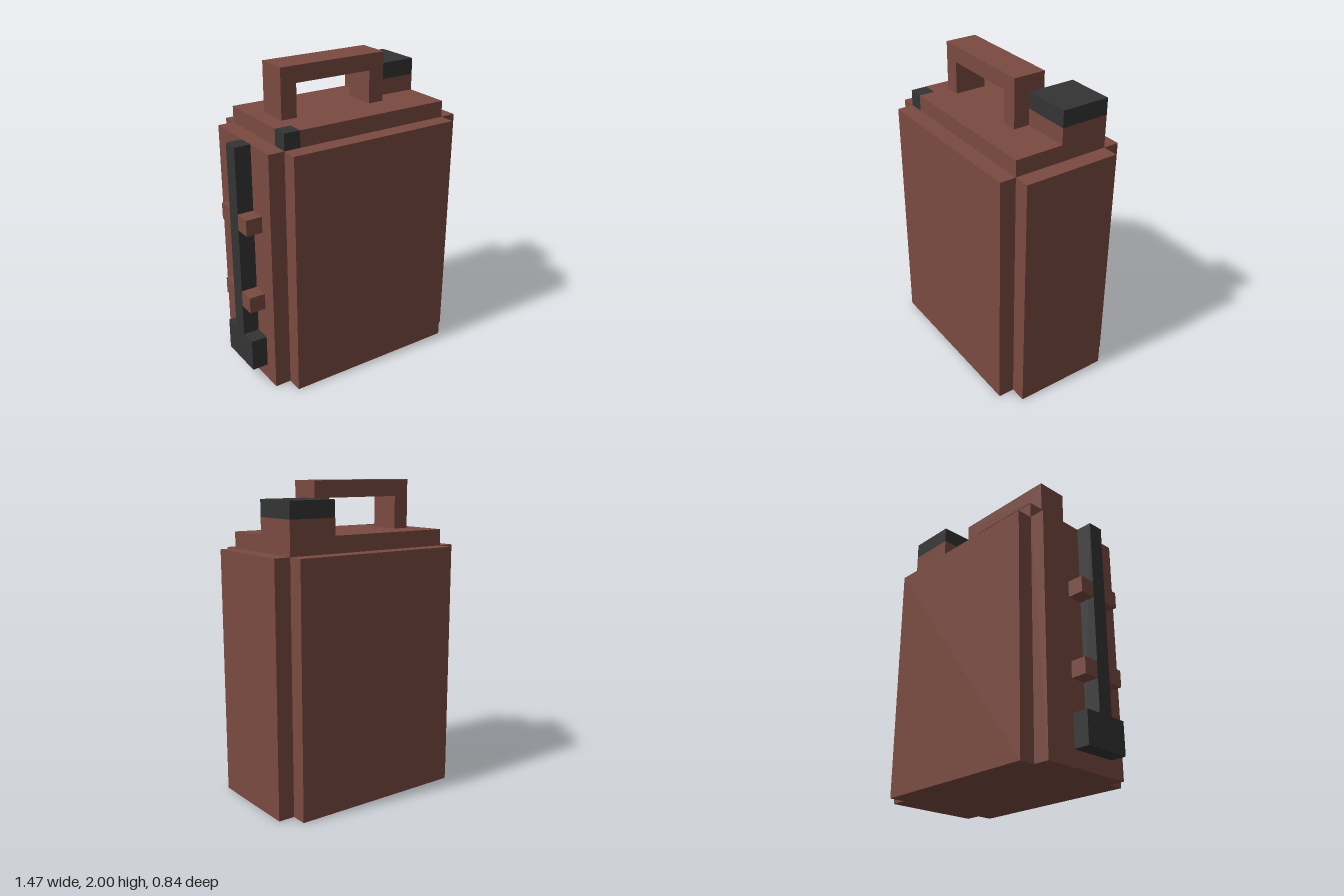
import * as THREE from 'three';

// One block of the grid; the model is 19 blocks tall
const U = 2 / 19;

export function createModel() {
  const model = new THREE.Group();
  model.name = 'fuelCan';

  const brown = new THREE.MeshStandardMaterial({ color: 0x7a4a41 });
  brown.name = 'brown';
  const dark = new THREE.MeshStandardMaterial({ color: 0x343434 });
  dark.name = 'charcoal';

  const add = (name, geometry, material) => {
    const mesh = new THREE.Mesh(geometry, material);
    mesh.name = name;
    model.add(mesh);
  };

  // Box between two grid corners
  const box = (name, material, [x0, y0, z0], [x1, y1, z1]) => {
    const g = new THREE.BoxGeometry((x1 - x0) * U, (y1 - y0) * U, (z1 - z0) * U);
    g.translate((x0 + x1) / 2 * U, (y0 + y1) / 2 * U, (z0 + z1) / 2 * U);
    add(name, g, material);
  };

  // Outline in grid units, extruded to the given depth
  const extrude = (points, depth) => new THREE.ExtrudeGeometry(
    new THREE.Shape(points.map(([a, b]) => new THREE.Vector2(a * U, b * U))),
    { depth: depth * U, bevelEnabled: false });

  // Floor plan of (x, z) points raised from y0 to y1
  const plan = (name, material, points, y0, y1) => {
    const g = extrude(points.map(([x, z]) => [x, -z]), y1 - y0);
    g.rotateX(-Math.PI / 2);
    g.translate(0, y0 * U, 0);
    add(name, g, material);
  };

  // Tank with stepped vertical corners
  plan('body', brown, [
    [-6, 3], [-5, 3], [-5, 4], [6, 4], [6, 3], [7, 3],
    [7, -3], [6, -3], [6, -4], [-5, -4], [-5, -3], [-6, -3],
  ], 0, 15);

  // Shoulder plate with a notch filled by the hose fitting
  plan('shoulder', brown, [[-4, 3], [6, 3], [6, -3], [-5, -3], [-5, 2], [-4, 2]], 15, 16);
  box('hoseFitting', dark, [-5, 15, 2], [-4, 16, 3]);

  // Carrying handle
  const handle = extrude([[-4, 16], [-3, 16], [-3, 18], [2, 18], [2, 16], [3, 16], [3, 19], [-4, 19]], 2);
  handle.translate(0, 0, -U);
  add('handle', handle, brown);

  // Filler neck and cap
  box('fillerNeck', brown, [3, 16, -3], [6, 17, 0]);
  box('fillerCap', dark, [3, 17, -3], [6, 18, 0]);

  // Hose stowed on the side, its nozzle and the paired clips
  box('hose', dark, [-7, 3, 0], [-6, 15, 1]);
  box('nozzle', dark, [-7, 1, -1], [-6, 3, 2]);
  for (const y of [5, 10]) {
    for (const z of [-1, 1]) box('hoseClip', brown, [-7, y, z], [-6, y + 1, z + 1]);
  }

  return model;
}
